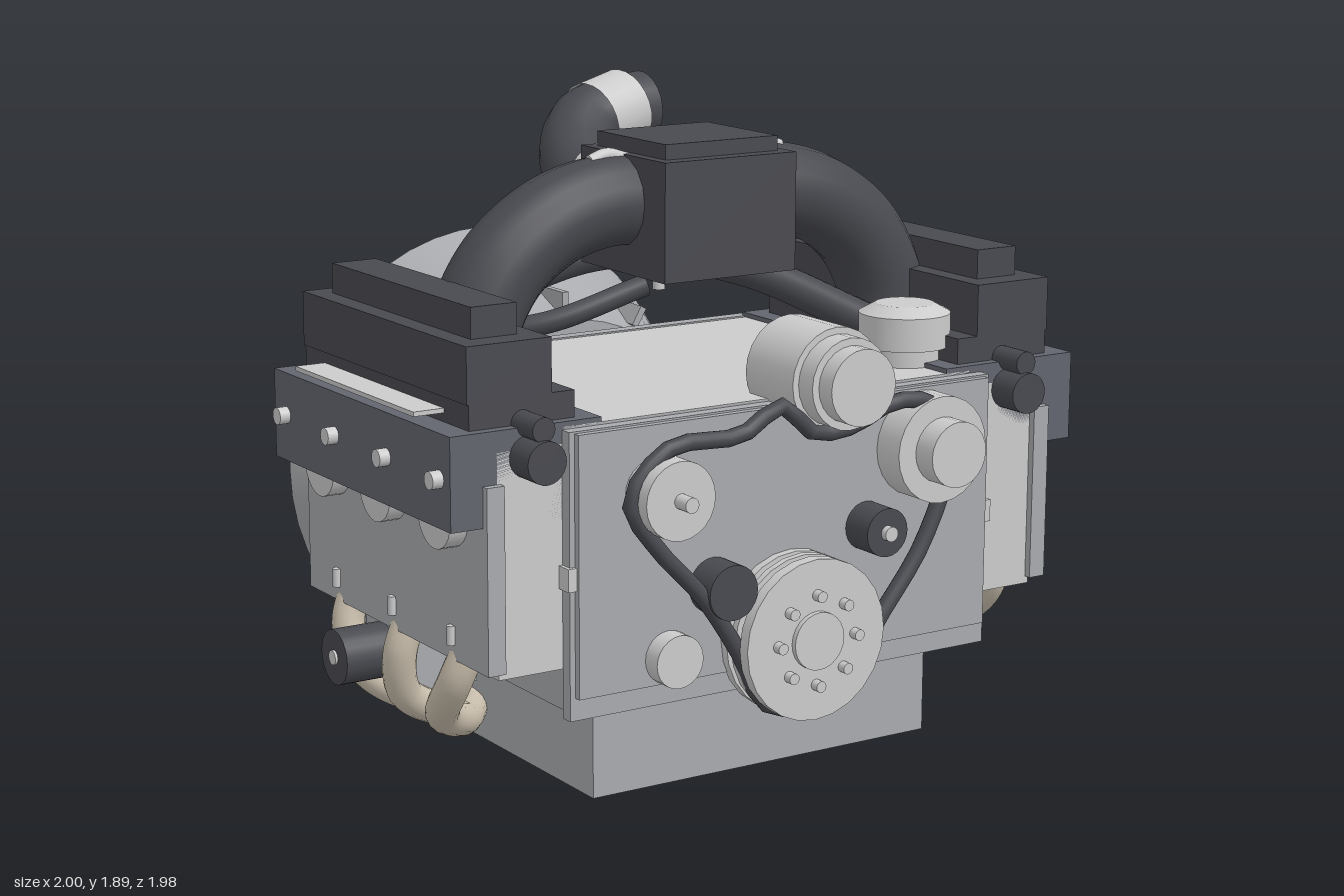
import * as THREE from 'three';

const mat = (color) => new THREE.MeshStandardMaterial({ color });
const light = mat(0xcccccc), grey = mat(0xa9abae), dark = mat(0x494a50), slate = mat(0x62656e),
  beige = mat(0xcbc0ae), gold = mat(0xd6ad60), yellow = mat(0xdcc040);
const openGrey = new THREE.MeshStandardMaterial({ color: 0xcccccc, side: THREE.DoubleSide });
const V = (p) => new THREE.Vector3(...p);

export function createModel() {
  const root = new THREE.Group();

  const add = (name, geometry, material) => {
    const m = new THREE.Mesh(geometry, material);
    m.name = name;
    root.add(m);
    return m;
  };
  // box from its lower and upper limits on each axis
  const box = (name, material, [x0, x1], [y0, y1], [z0, z1]) =>
    add(name, new THREE.BoxGeometry(Math.abs(x1 - x0), y1 - y0, z1 - z0), material)
      .position.set((x0 + x1) / 2, (y0 + y1) / 2, (z0 + z1) / 2);
  // cylinder between two points
  const rod = (name, material, a, b, r0, r1 = r0, open = false) => {
    const p = V(a), q = V(b), d = q.clone().sub(p);
    const m = add(name, new THREE.CylinderGeometry(r1, r0, d.length(), r0 > 0.3 ? 48 : 24, 1, open), material);
    m.position.copy(p).add(q).multiplyScalar(0.5);
    m.quaternion.setFromUnitVectors(new THREE.Vector3(0, 1, 0), d.normalize());
    return m;
  };
  const rodZ = (name, material, x, y, z0, z1, r, r1 = r) => rod(name, material, [x, y, z0], [x, y, z1], r, r1);
  // smooth tube, with capped ends unless closed
  const tube = (name, material, pts, r, closed = false) => {
    const curve = new THREE.CatmullRomCurve3(pts.map(V), closed);
    add(name, new THREE.TubeGeometry(curve, 48, r, 16, closed), material);
    if (closed) return;
    for (const t of [0, 1]) {
      const cap = add(name + 'Cap', new THREE.CircleGeometry(r, 16), material);
      cap.position.copy(curve.getPoint(t));
      const n = curve.getTangent(t).multiplyScalar(t ? 1 : -1);
      cap.quaternion.setFromUnitVectors(new THREE.Vector3(0, 0, 1), n);
    }
  };

  // crankcase and its end plates
  box('crankcase', grey, [-0.62, 0.62], [0.42, 1.17], [-0.25, 0.74]);
  box('crankcaseTop', light, [-0.65, 0.65], [1.12, 1.172], [-0.21, 0.74]);
  box('frontPlate', grey, [-0.655, 0.655], [0.42, 1.165], [0.74, 0.775]);
  box('timingCover', grey, [-0.64, 0.64], [0.48, 1.16], [0.77, 0.795]);
  box('rearPlate', grey, [-0.665, 0.665], [0.42, 1.175], [-0.255, -0.215]);
  box('rearFlange', grey, [-0.63, 0.63], [0.45, 1.15], [-0.3, -0.25]);
  box('oilPan', grey, [-0.53, 0.53], [0.165, 0.43], [-0.155, 0.68]);
  rod('drainPlug', light, [0.31, 0.115, 0.42], [0.31, 0.17, 0.42], 0.045);

  // both cylinder banks, mirrored
  for (const s of [1, -1]) {
    const sx = (a, b) => [s * a, s * b];
    box('cylinderBank', light, sx(0.6, 0.84), [0.55, 1.13], [-0.2, 0.74]);
    box('cylinderHead', grey, sx(0.83, 0.88), [0.57, 1.05], [-0.22, 0.76]);
    box('bankFoot', grey, sx(0.6, 0.81), [0.365, 0.56], [-0.03, 0.2]);
    box('valveCover', slate, sx(0.54, 0.97), [0.945, 1.185], [-0.225, 0.74]);
    box('intakeRail', dark, sx(0.6, 0.9), [1.18, 1.255], [-0.175, 0.71]);
    box('plenum', dark, sx(0.665, 0.905), [1.25, 1.395], [-0.175, 0.71]);
    box('plenumLid', dark, sx(0.72, 0.85), [1.39, 1.475], [-0.11, 0.635]);
    box('sidePlate', light, sx(0.86, 0.985), [1.208, 1.22], [-0.065, 0.585]);
    for (const z of [0.685, 0.41, 0.125, -0.155])
      rod('coverBolt', light, [s * 0.95, 1.07, z], [s * 1, 1.07, z], 0.023);
    rodZ('camCap', dark, s * 0.75, 1.11, 0.72, 0.83, 0.055);
    rodZ('camSensor', dark, s * 0.75, 1.19, 0.7, 0.815, 0.032);

    // cylinder ends, spark plugs and exhaust runners
    for (const z of [0.58, 0.265, -0.05]) {
      rod('cylinderEnd', light, [s * 0.86, 0.95, z], [s * 0.93, 0.95, z], 0.085);
      rod('sparkPlug', light, [s * 0.885, 0.61, z], [s * 0.885, 0.66, z], 0.012);
      tube('exhaustRunner', beige, [[s * 0.83, 0.6, z], [s * 0.86, 0.5, z * 0.93 + 0.01],
        [s * 0.83, 0.38, z * 0.65 + 0.05], [s * 0.68, 0.29, z * 0.3 + 0.09], [s * 0.53, 0.245, 0.05]], 0.045);
    }
    tube('exhaustCollector', beige, [[s * 0.68, 0.285, 0.13], [s * 0.57, 0.25, 0.07], [s * 0.48, 0.235, 0]], 0.052);
    rod('exhaustStub', beige, [s * 0.3, 0.235, -0.1], [s * 0.3, 0.235, -0.2], 0.035);
    rod('sideSensor', dark, [s * 0.82, 0.46, 0.085], [s * 0.965, 0.46, 0.085], 0.075);
    rod('sideSensorPin', light, [s * 0.96, 0.46, 0.085], [s * 0.972, 0.46, 0.085], 0.02);

    // arched intake duct and its clip
    tube('intakeDuct', dark, [[s * 0.15, 1.642, 0.29], [s * 0.28, 1.64, 0.29], [s * 0.42, 1.6, 0.29],
      [s * 0.56, 1.5, 0.29], [s * 0.64, 1.37, 0.29], [s * 0.665, 1.25, 0.29]], 0.122);
    tube('ductClip', light, [[s * 0.19, 1.75, 0.295], [s * 0.25, 1.765, 0.295], [s * 0.3, 1.75, 0.295]], 0.018);
    box('plateLug', light, sx(0.64, 0.665), [0.76, 0.82], [0.74, 0.785]);
  }

  // central air box and throttle body
  box('airBox', dark, [-0.205, 0.205], [1.45, 1.765], [0.095, 0.51]);
  box('airBoxLid', dark, [-0.175, 0.175], [1.76, 1.805], [0.13, 0.465]);
  rodZ('throttleBody', light, 0, 1.61, -0.115, 0.1, 0.128);
  rod('throttleMotor', dark, [0.1, 1.62, 0.015], [0.19, 1.62, 0.015], 0.05);

  // inlet elbow with clamp and open end
  tube('inletHose', dark, [[0, 1.605, -0.1], [0, 1.61, -0.2], [0.025, 1.67, -0.31],
    [0.1, 1.74, -0.39], [0.19, 1.775, -0.41]], 0.105);
  rod('inletClamp', openGrey, [0.12, 1.755, -0.385], [0.25, 1.785, -0.415], 0.112, 0.112, true);
  const lip = new THREE.MeshStandardMaterial({ color: 0x494a50, side: THREE.DoubleSide });
  rod('inletMouth', lip, [0.19, 1.775, -0.41], [0.315, 1.785, -0.42], 0.1, 0.1, true);

  // hoses across the top
  tube('coolantHose', dark, [[-0.58, 1.23, -0.1], [-0.3, 1.35, -0.155], [0, 1.43, -0.1],
    [0.3, 1.39, 0.1], [0.55, 1.25, 0.4]], 0.05);
  tube('breatherHose', dark, [[-0.65, 1.28, 0.02], [-0.4, 1.32, 0.22], [-0.13, 1.41, 0.3]], 0.03);

  // oil filler, dipstick and filter
  rod('fillerNeck', light, [0.44, 1.41, 0.015], [0.44, 1.56, 0.015], 0.083);
  const cap = add('fillerCap', new THREE.SphereGeometry(0.1, 32, 16), gold);
  cap.scale.y = 0.27;
  cap.position.set(0.44, 1.573, 0.015);
  const knob = add('dipstickKnob', new THREE.SphereGeometry(0.042, 24, 16), yellow);
  knob.position.set(0.7, 1.26, -0.235);
  rod('filterBase', light, [0.545, 1.15, 0.545], [0.545, 1.24, 0.545], 0.1);
  rod('filter', light, [0.545, 1.22, 0.545], [0.545, 1.31, 0.545], 0.125);
  rod('filterTop', light, [0.545, 1.31, 0.545], [0.545, 1.335, 0.545], 0.125, 0.08);

  // bell housing, gearbox stub and wrap-around pipe
  rodZ('bellHousing', grey, 0, 0.75, -0.795, -0.31, 0.657, 0.45);
  rodZ('gearboxStub', grey, 0, 0.75, -0.972, -0.78, 0.24);
  const arc = [];
  for (let i = 0; i <= 12; i++) {
    const a = Math.PI * i / 12;
    arc.push([0.635 * Math.cos(a), 0.75, -0.31 - 0.65 * Math.sin(a)]);
  }
  tube('coolantPipe', light, [[0.635, 0.75, -0.23], ...arc, [-0.635, 0.75, -0.23]], 0.03);
  for (let i = 0; i < 12; i++) {
    const a = i * Math.PI / 6, c = Math.cos(a), n = Math.sin(a);
    const rib = add('housingRib', new THREE.BoxGeometry(0.06, 0.02, 0.15), grey);
    rib.position.set(0.5 * c, 0.75 + 0.5 * n, -0.405);
    rib.rotation.z = a;
    const y = 0.75 + 0.62 * n;
    rod('housingBolt', light, [0.62 * c, y - 0.026, -0.32], [0.62 * c, y + 0.026, -0.32], 0.018);
  }
  rodZ('starter', light, 0.56, 0.575, -0.62, -0.28, 0.088);
  rodZ('starterNose', light, 0.54, 0.61, -0.48, -0.28, 0.07);

  // muffler
  rod('muffler', beige, [0, 0.215, -0.135], [0, 0.093, -0.57], 0.093);

  // crank pulley: grooved discs, hub and bolt circle
  for (const [z0, z1, r] of [[0.79, 0.82, 0.215], [0.82, 0.84, 0.19], [0.84, 0.86, 0.215],
    [0.86, 0.88, 0.19], [0.88, 0.915, 0.215]]) rodZ('crankPulley', light, 0, 0.565, z0, z1, r);
  rodZ('crankHub', light, 0, 0.565, 0.91, 0.93, 0.077);
  for (let i = 0; i < 8; i++) {
    const a = i * Math.PI / 4;
    rodZ('crankBolt', light, 0.12 * Math.cos(a), 0.565 + 0.12 * Math.sin(a), 0.91, 0.94, 0.015);
  }

  // accessory pulleys: x, y, then start, end and radius of each step
  const accessories = [
    ['alternator', light, 0.085, 1.23, [[0.66, 0.87, 0.138], [0.87, 0.93, 0.12], [0.93, 0.985, 0.1]]],
    ['waterPump', light, -0.42, 0.99, [[0.79, 0.84, 0.085], [0.84, 0.92, 0.102], [0.92, 0.97, 0.02]]],
    ['steeringPump', light, 0.415, 1.01, [[0.78, 0.89, 0.143], [0.89, 0.96, 0.088]]],
    ['idler', dark, -0.24, 0.72, [[0.79, 0.89, 0.073]]],
    ['tensioner', dark, 0.24, 0.81, [[0.79, 0.89, 0.065]]],
    ['tensionerHub', light, 0.24, 0.81, [[0.88, 0.91, 0.02]]],
    ['coverBoss', light, -0.375, 0.55, [[0.79, 0.85, 0.07]]],
  ];
  for (const [name, material, x, y, steps] of accessories)
    for (const [z0, z1, r] of steps) rodZ(name, material, x, y, z0, z1, r);
  box('alternatorLug', light, [0.2, 0.25], [1.15, 1.22], [0.73, 0.8]);

  // drive belt
  tube('driveBelt', dark, [[-0.42, 1.11], [-0.2, 1.12], [-0.08, 1.18], [0.02, 1.1], [0.14, 1.1], [0.28, 1.15], [0.42, 1.12],
    [0.46, 0.98], [0.38, 0.76], [0.23, 0.56], [0.12, 0.4], [0, 0.37], [-0.12, 0.4], [-0.21, 0.56],
    [-0.32, 0.72], [-0.46, 0.87], [-0.53, 0.99]].map(([x, y]) => [x, y, 0.86]), 0.022, true);

  return root;
}
